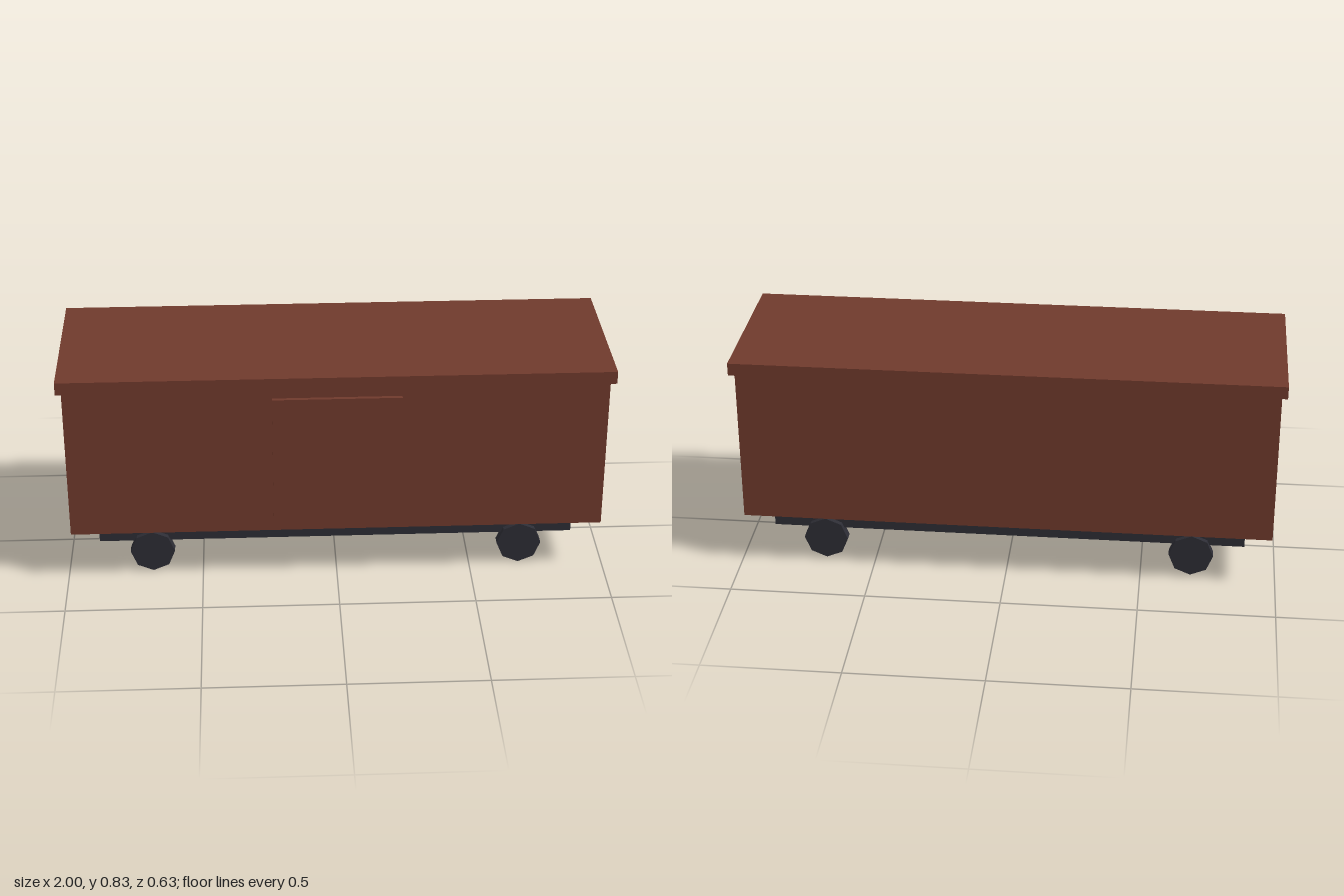
import * as THREE from 'three';

export function createModel() {
  const group = new THREE.Group();
  group.name = 'boxcar';

  const paint = new THREE.MeshStandardMaterial({ color: 0x703a2c, flatShading: true });
  paint.name = 'red brown paint';
  const iron = new THREE.MeshStandardMaterial({ color: 0x2d2d35, flatShading: true });
  iron.name = 'dark iron';

  const add = (name, geometry, material, x, y, z) => {
    const mesh = new THREE.Mesh(geometry, material);
    mesh.name = name;
    mesh.position.set(x, y, z);
    group.add(mesh);
  };

  // Box given by its bottom and top heights
  const addBox = (name, material, width, bottom, top, depth, z = 0) =>
    add(name, new THREE.BoxGeometry(width, top - bottom, depth), material, 0, (bottom + top) / 2, z);

  addBox('chassis', iron, 1.765, 0.12, 0.199, 0.431);
  addBox('body', paint, 1.961, 0.199, 0.787, 0.588);
  addBox('roof', paint, 2, 0.787, 0.834, 0.628);

  // Sliding door, on the front side only
  addBox('door', paint, 0.467, 0.238, 0.746, 0.03, 0.294);

  // Eight-sided wheels, standing on a corner
  const radius = 0.0825;
  const wheel = new THREE.CylinderGeometry(radius, radius, 0.038, 8).rotateX(Math.PI / 2);
  for (const x of [-0.686, 0.686]) {
    for (const z of [-0.216, 0.216]) {
      add(`${z > 0 ? 'front' : 'back'}${x > 0 ? 'Left' : 'Right'}Wheel`, wheel, iron, x, radius, z);
    }
  }

  return group;
}
